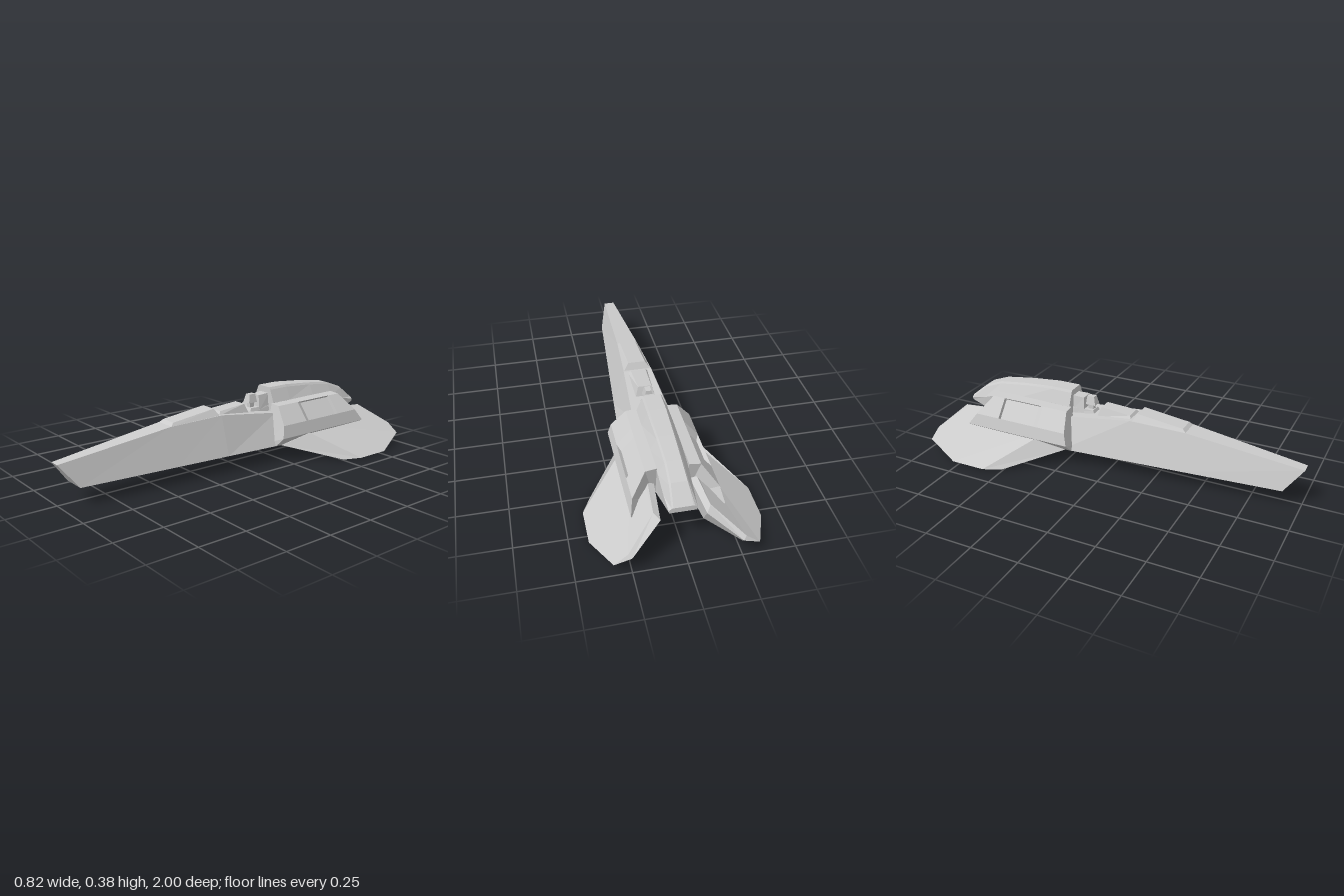
import * as THREE from 'three';

const grey = new THREE.MeshStandardMaterial({ color: 0xcccccc, flatShading: true, side: THREE.DoubleSide });

// Closed skin through equal-length rings of [x, y, z], with fan caps, always facing outward.
function loft(name, rings) {
  const n = rings[0].length, last = rings[rings.length - 1];
  const tris = [];
  for (let r = 0; r + 1 < rings.length; r++) {
    for (let i = 0; i < n; i++) {
      const j = (i + 1) % n, a = rings[r], b = rings[r + 1];
      tris.push([a[i], a[j], b[j]], [a[i], b[j], b[i]]);
    }
  }
  for (let i = 1; i + 1 < n; i++) {
    tris.push([rings[0][0], rings[0][i + 1], rings[0][i]], [last[0], last[i], last[i + 1]]);
  }
  const v = (p) => new THREE.Vector3(...p);
  const volume = tris.reduce((s, [a, b, c]) => s + v(a).dot(v(b).cross(v(c))), 0);
  if (volume < 0) tris.forEach((t) => t.reverse());
  const geo = new THREE.BufferGeometry();
  geo.setAttribute('position', new THREE.Float32BufferAttribute(tris.flat(2), 3));
  geo.computeVertexNormals();
  const mesh = new THREE.Mesh(geo, grey);
  mesh.name = name;
  return mesh;
}

// Completes a half profile into a symmetric ring.
const symmetric = (half) => [...half, ...half.map(([x, y, z]) => [-x, y, z]).reverse()];

// Tapered block: base and top are [front z, front y, front half-width, back z, back y, back half-width].
function block(name, base, top) {
  const rect = ([zf, yf, wf, zb, yb, wb]) => [[wf, yf, zf], [wb, yb, zb], [-wb, yb, zb], [-wf, yf, zf]];
  return loft(name, [rect(base), rect(top)]);
}

// Engine pod with a recessed panel in its sloping shoulder.
function podRings(side) {
  const ring = (zAt, deep = 0) => [
    [0.075, 0.086], [0.16, 0.086], [0.218, 0.14], [0.203, 0.205],
    [0.203 - deep * 0.78, 0.205 - deep * 0.63],
    [0.13 - deep * 0.78, 0.295 - deep * 0.63],
    [0.13, 0.295], [0.075, 0.3],
  ].map(([x, y], i) => [side * x, y, zAt(y, i)]);
  const front = (y) => -0.2 - Math.max(0, y - 0.14) * 0.25;
  const back = (y, i) => (i < 2 ? -0.66 : -0.69 - (0.3 - y) * 0.75);
  return [
    ring(front),
    ring(() => -0.38),
    ring((y, i) => (i === 4 || i === 5 ? -0.415 : -0.4), 0.02),
    ring(() => -0.62, 0.02),
    ring(() => -0.621),
    ring(back),
  ];
}

// Drooping wing: lower outline, rim, upper outline.
function wingRings(side) {
  const lower = [
    [0.12, 0.08, -0.24], [0.165, 0.085, -0.24], [0.365, 0, -0.51], [0.36, 0, -0.8],
    [0.32, 0.04, -0.97], [0.25, 0.07, -0.98], [0.115, 0.078, -0.82], [0.09, 0.078, -0.6],
  ];
  const shared = [
    [0.12, 0.19, -0.3], [0.22, 0.14, -0.39], [0.41, 0.003, -0.6], [0.41, 0.003, -0.79],
    [0.33, 0.055, -0.99],
  ];
  const rim = [...shared, [0.25, 0.09, -1], [0.105, 0.19, -0.9], [0.085, 0.2, -0.68]];
  const upper = [...shared, [0.265, 0.103, -0.985], [0.13, 0.205, -0.865], [0.115, 0.213, -0.68]];
  return [lower, rim, upper].map((r) => r.map(([x, y, z]) => [side * x, y, z]));
}

export function createModel() {
  const model = new THREE.Group();
  model.name = 'spacecraft';

  // Long nose: [bottom z, bottom half-width, top z, top y, top half-width]
  model.add(loft('noseHull', [
    [0.91, 0.065, 1, 0.205, 0.028],
    [0.4, 0.108, 0.4, 0.28, 0.055],
    [0.1, 0.133, 0.1, 0.291, 0.075],
    [-0.25, 0.162, -0.25, 0.25, 0.096],
  ].map(([zb, b, zt, y, t]) => symmetric([[b, 0.086, zb], [t, y, zt]]))));

  // Canopy and the hatch behind it
  model.add(block('canopy', [0.4, 0.278, 0.055, 0.11, 0.288, 0.072], [0.38, 0.295, 0.044, 0.13, 0.325, 0.045]));
  model.add(block('hatch', [0.1, 0.285, 0.055, -0.1, 0.262, 0.052], [0.085, 0.303, 0.04, -0.08, 0.315, 0.035]));

  // Small turret in front of the spine
  model.add(block('turretBase', [-0.12, 0.25, 0.035, -0.26, 0.25, 0.045], [-0.135, 0.28, 0.028, -0.26, 0.28, 0.04]));
  model.add(block('turretNeck', [-0.14, 0.27, 0.012, -0.17, 0.27, 0.012], [-0.14, 0.32, 0.012, -0.17, 0.32, 0.012]));
  model.add(block('turretHead', [-0.125, 0.307, 0.024, -0.18, 0.307, 0.024], [-0.135, 0.352, 0.014, -0.175, 0.352, 0.014]));
  model.add(block('turretHousing', [-0.185, 0.26, 0.038, -0.26, 0.26, 0.04], [-0.19, 0.342, 0.025, -0.26, 0.348, 0.03]));

  // Central spine: [z, top y, top half-width, shoulder y, shoulder half-width, bottom y]
  model.add(loft('spine', [
    [-0.25, 0.38, 0.042, 0.3, 0.078, 0.087],
    [-0.37, 0.38, 0.042, 0.3, 0.078, 0.087],
    [-0.55, 0.364, 0.038, 0.295, 0.077, 0.087],
    [-0.7, 0.343, 0.035, 0.275, 0.073, 0.14],
    [-0.8, 0.305, 0.038, 0.24, 0.07, 0.18],
    [-0.885, 0.235, 0.045, 0.222, 0.066, 0.208],
  ].map(([z, y, t, sy, s, b]) => symmetric([
    [s * 0.95, b, z], [s, sy, z],
    [t + 0.008, y - (y - sy) * 0.15, z], [t, y, z],
  ]))));

  for (const [label, side] of [['left', 1], ['right', -1]]) {
    model.add(loft(label + 'EnginePod', podRings(side)));
    model.add(loft(label + 'Wing', wingRings(side)));
  }
  return model;
}
